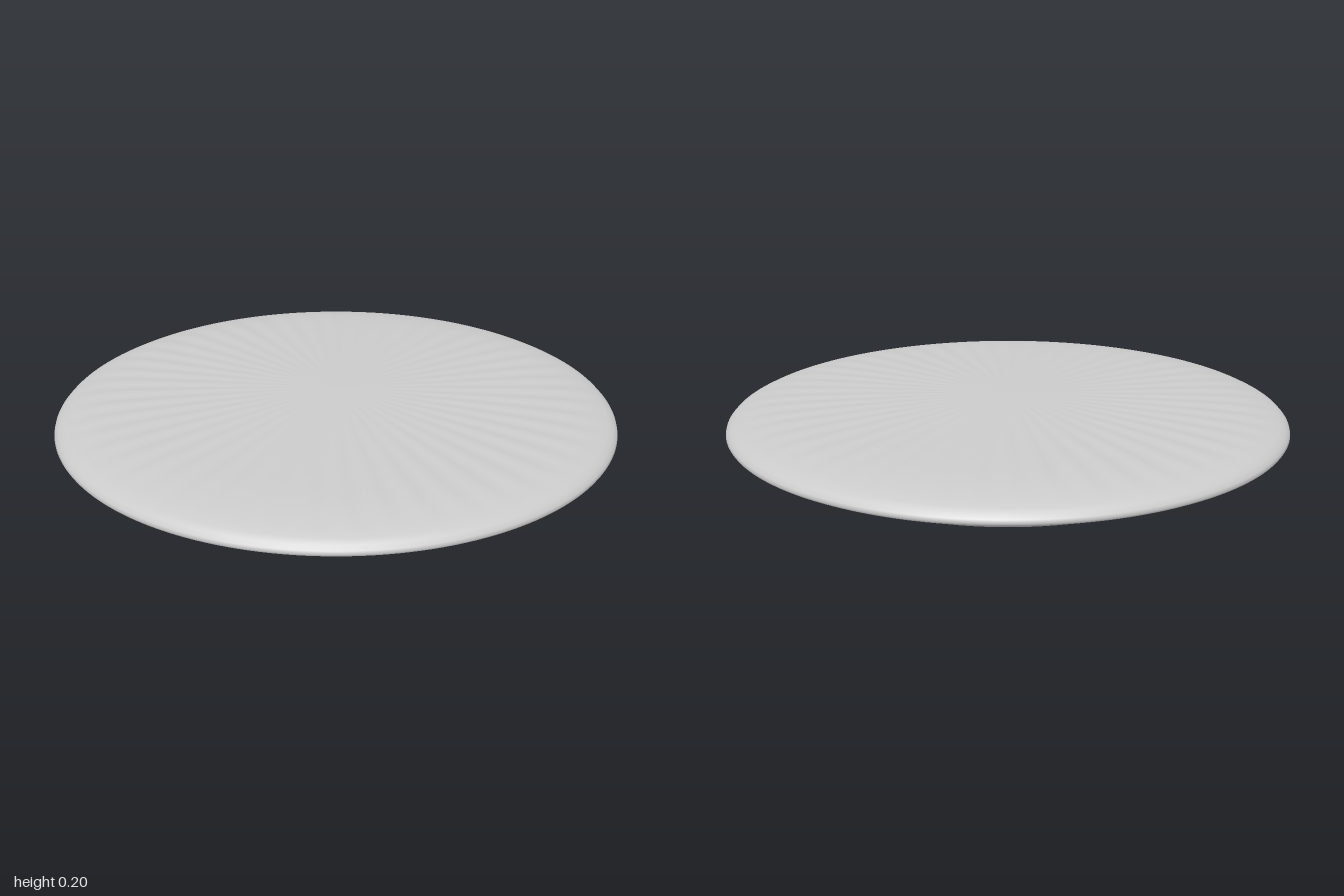
import * as THREE from 'three';
import { mergeVertices } from 'three/addons/utils/BufferGeometryUtils.js';

const SEGMENTS = 192;
const FOLDS = 48;

function lathe(points) {
  return new THREE.LatheGeometry(points.map(([r, y]) => new THREE.Vector2(r, y)), SEGMENTS);
}

// Shallow radial folds that fade out at the centre and at the rim
function addFolds(geometry) {
  const p = geometry.attributes.position;
  for (let i = 0; i < p.count; i++) {
    const x = p.getX(i), z = p.getZ(i);
    const r = Math.hypot(x, z);
    const fade = THREE.MathUtils.smoothstep(r, 0.1, 0.8) * (1 - THREE.MathUtils.smoothstep(r, 0.84, 0.96));
    p.setY(i, p.getY(i) + 0.0025 * fade * Math.cos(FOLDS * Math.atan2(z, x)));
  }
  geometry.deleteAttribute('uv');
  geometry.deleteAttribute('normal');
  const welded = mergeVertices(geometry, 1e-5);
  welded.computeVertexNormals();
  return welded;
}

export function createModel() {
  const group = new THREE.Group();
  const material = new THREE.MeshStandardMaterial({ color: 0xcccccc, side: THREE.DoubleSide });
  const add = (name, geometry) => {
    const mesh = new THREE.Mesh(geometry, material);
    mesh.name = name;
    group.add(mesh);
  };

  // Almost flat underside, sagging slightly at the middle
  add('base', lathe([[0, 0], [0.27, 0.003], [0.55, 0.008], [0.765, 0.012]]));

  // Foot flaring out to the rim
  add('flare', lathe([
    [0.765, 0.012], [0.775, 0.02], [0.782, 0.034], [0.798, 0.046], [0.83, 0.06],
    [0.88, 0.076], [0.94, 0.096], [0.98, 0.112], [0.996, 0.121],
  ]));

  // Rounded rim and gently domed, folded top
  add('top', addFolds(lathe([
    [0.996, 0.121], [1, 0.128], [0.997, 0.138], [0.985, 0.151], [0.965, 0.161],
    [0.93, 0.169], [0.88, 0.177], [0.82, 0.183], [0.74, 0.187], [0.6, 0.191],
    [0.4, 0.195], [0.2, 0.199], [0, 0.2],
  ])));

  return group;
}
